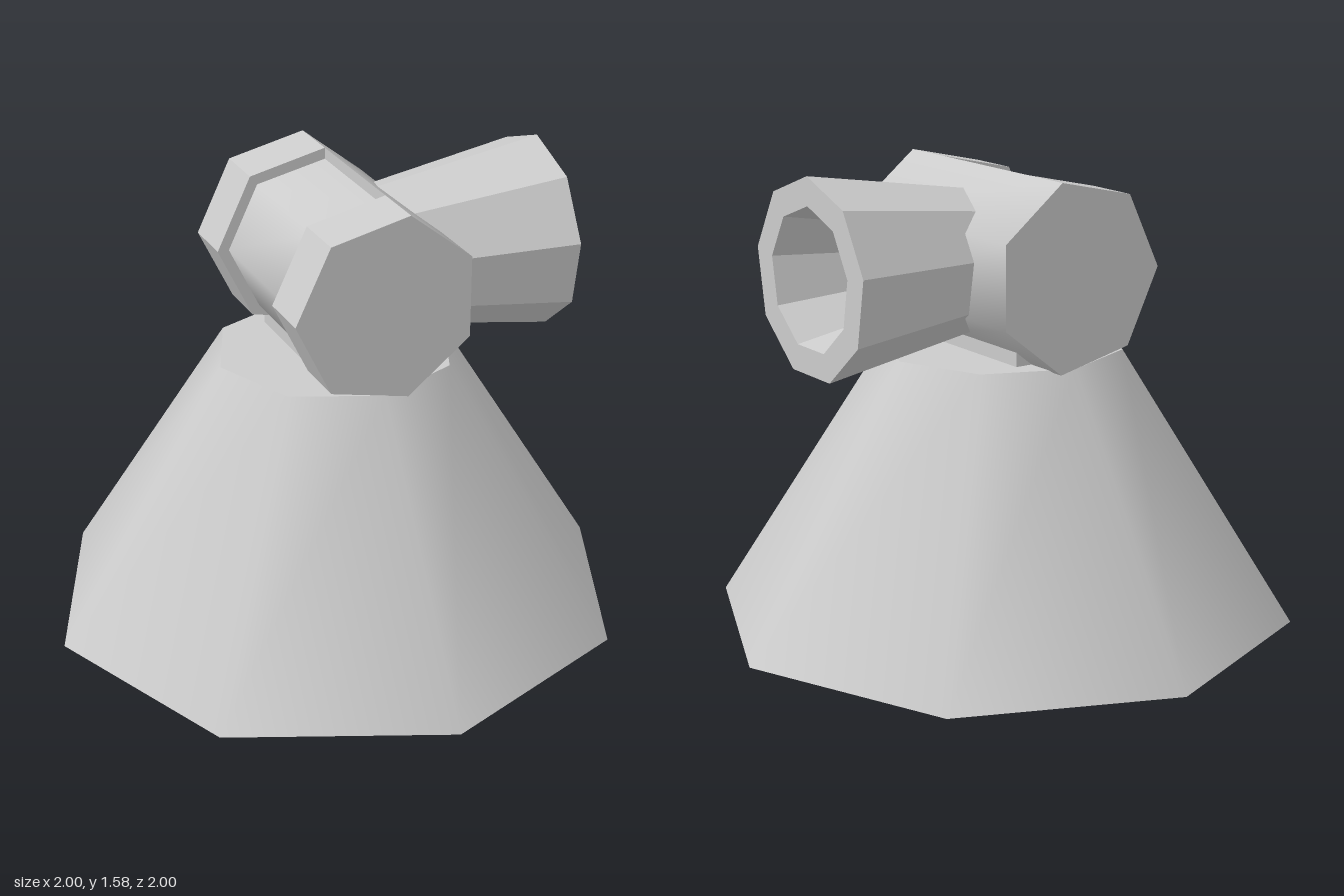
import * as THREE from 'three';
import { toCreasedNormals } from 'three/addons/utils/BufferGeometryUtils.js';

const HEAD_Y = 1.24;
const grey = new THREE.MeshStandardMaterial({ color: 0xcccccc, side: THREE.DoubleSide });
const greyFlat = new THREE.MeshStandardMaterial({ color: 0xcccccc, flatShading: true });
const yellow = new THREE.MeshStandardMaterial({ color: 0xd4b82e });

function add(parent, name, geometry, material) {
  const mesh = new THREE.Mesh(geometry, material);
  mesh.name = name;
  parent.add(mesh);
  return mesh;
}

// Corner i of a heptagon whose corner 0 points to -x
function corner(i, radius) {
  const a = Math.PI + (i * Math.PI * 2) / 7;
  return new THREE.Vector2(Math.cos(a) * radius, Math.sin(a) * radius);
}

// Prism along z between z0 and z1
function prism(points, z0, z1) {
  const geometry = new THREE.ExtrudeGeometry(new THREE.Shape(points), { depth: z1 - z0, bevelEnabled: false });
  return geometry.translate(0, 0, z0);
}

export function createModel() {
  const model = new THREE.Group();
  model.name = 'turret';

  // Tapered eight-sided base, open underneath
  const base = new THREE.CylinderGeometry(0.41, 1, 0.935, 8, 1, true).translate(0, 0.4675, 0);
  add(model, 'base', base, grey);
  const top = new THREE.CircleGeometry(0.41, 8).rotateX(-Math.PI / 2).translate(0, 0.935, 0);
  add(model, 'baseTop', top, grey);

  // Neck block between base and head
  add(model, 'neck', new THREE.BoxGeometry(0.28, 0.2, 0.56).translate(0, 1.03, 0), greyFlat);

  // Seven-sided head: smooth front, flat end flanges, recessed drum at the back
  const head = new THREE.Group();
  head.name = 'head';
  head.position.y = HEAD_Y;
  model.add(head);
  const R = 0.32, r = 0.28;
  const frontShape = [2, 3, 4, 5].map((i) => corner(i, R));
  const flangeShape = [5, 6, 0, 1, 2].map((i) => corner(i, R));
  const drumShape = [6, 0, 1].map((i) => corner(i, r));
  const stepX = corner(2, R).x;
  drumShape.push(new THREE.Vector2(stepX, -r * 0.975), new THREE.Vector2(stepX, r * 0.975));
  add(head, 'headFront', toCreasedNormals(prism(frontShape, -0.43, 0.43), 0.96), grey);
  add(head, 'frontFlange', prism(flangeShape, 0.24, 0.43), greyFlat);
  add(head, 'backFlange', prism(flangeShape, -0.43, -0.24), greyFlat);
  add(head, 'drum', toCreasedNormals(prism(drumShape, -0.25, 0.25), 0.96), grey);

  // Flared nine-sided barrel along +x with a tapering bore
  const barrel = new THREE.Group();
  barrel.name = 'barrel';
  barrel.position.y = 1.248;
  model.add(barrel);
  const profile = [[0.222, 0.06], [0.332, 0.745], [0.237, 0.745], [0.147, 0.32]]
    .map(([radius, x]) => new THREE.Vector2(radius, x));
  const tube = new THREE.LatheGeometry(profile, 9, -Math.PI / 2).rotateZ(-Math.PI / 2);
  add(barrel, 'barrelTube', tube, greyFlat);
  const disc = new THREE.CircleGeometry(0.147, 9, Math.PI / 2).rotateY(Math.PI / 2).translate(0.32, 0, 0);
  add(barrel, 'barrelCore', disc, yellow);

  return model;
}
